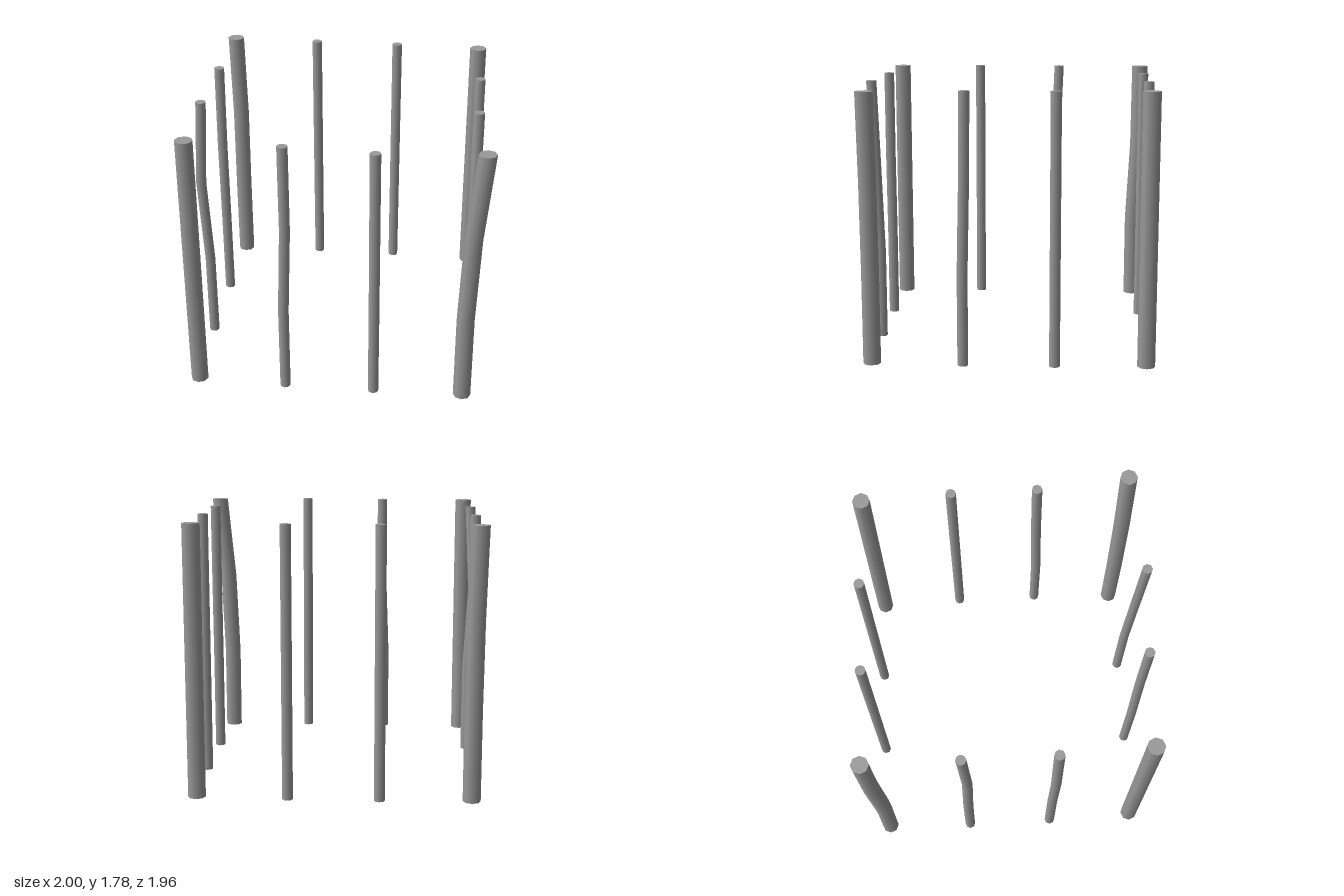
import * as THREE from 'three';

const HEIGHT = 1.778;
const THICK = 0.058;
const THIN = 0.035;

// Eight-sided post whose four rings are shifted to follow a crooked centre line.
// line: [x, z] of the rings from the ground up
function makePost(name, radius, line, material) {
  const geometry = new THREE.CylinderGeometry(radius, radius, HEIGHT, 8, 3);
  geometry.translate(0, HEIGHT / 2, 0);
  const pos = geometry.attributes.position;
  for (let i = 0; i < pos.count; i++) {
    const [x, z] = line[Math.round((pos.getY(i) / HEIGHT) * 3)];
    pos.setX(i, pos.getX(i) + x);
    pos.setZ(i, pos.getZ(i) + z);
  }
  const mesh = new THREE.Mesh(geometry, material);
  mesh.name = name;
  return mesh;
}

// Centre line that stays upright
const straight = (x, z) => [[x, z], [x, z], [x, z], [x, z]];

export function createModel() {
  const group = new THREE.Group();
  group.name = 'postRing';
  const material = new THREE.MeshStandardMaterial({ color: 0x999999 });

  // Thick corner posts
  const corners = {
    frontRightCornerPost: straight(-0.913, 0.887),
    backLeftCornerPost: straight(0.863, -0.89),
    frontLeftCornerPost: [[0.862, 0.887], [0.862, 0.887], [0.885, 0.887], [0.941, 0.887]],
    backRightCornerPost: [[-0.913, -0.89], [-0.913, -0.89], [-0.916, -0.92], [-0.93, -0.925]],
  };

  // Thin posts, two along each side
  const sides = {
    frontRightPost: [[-0.322, 0.906], [-0.322, 0.906], [-0.3, 0.906], [-0.301, 0.906]],
    frontLeftPost: [[0.271, 0.906], [0.271, 0.906], [0.271, 0.925], [0.271, 0.945]],
    backRightPost: straight(-0.321, -0.912),
    backLeftPost: straight(0.271, -0.912),
    rightBackPost: [[-0.934, -0.297], [-0.934, -0.296], [-0.934, -0.287], [-0.934, -0.31]],
    rightFrontPost: [[-0.934, 0.294], [-0.934, 0.294], [-0.965, 0.294], [-0.935, 0.294]],
    leftBackPost: straight(0.884, -0.299),
    leftFrontPost: [[0.884, 0.294], [0.884, 0.294], [0.884, 0.28], [0.884, 0.273]],
  };

  for (const [name, line] of Object.entries(corners)) group.add(makePost(name, THICK, line, material));
  for (const [name, line] of Object.entries(sides)) group.add(makePost(name, THIN, line, material));
  return group;
}
